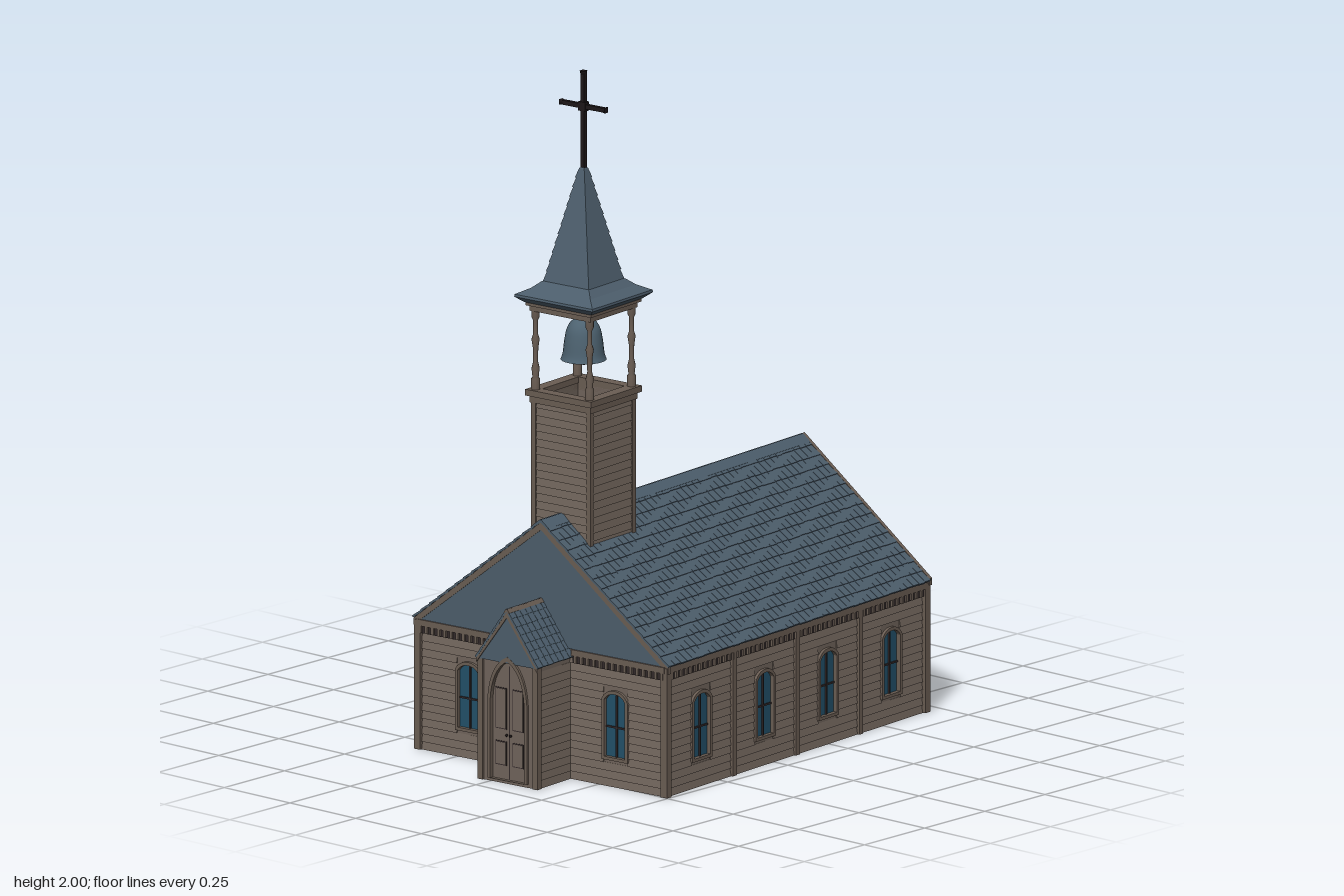
import * as THREE from 'three';
import { mergeGeometries } from 'three/addons/utils/BufferGeometryUtils.js';

const mat = (name, color, side = THREE.FrontSide) => {
  const m = new THREE.MeshStandardMaterial({ color, side });
  m.name = name;
  return m;
};

export function createModel() {
  const siding = mat('siding', 0x70645b), trim = mat('trim', 0x6a5d53), roof = mat('shingle', 0x4c5d6b);
  const glass = mat('glass', 0x225068, THREE.DoubleSide), dark = mat('darkTrim', 0x32292a);
  const iron = mat('iron', 0x1d1718), bellMetal = mat('bellMetal', 0x4d6270, THREE.DoubleSide);

  let seed = 7;
  const rand = () => (seed = (seed * 16807) % 2147483647) / 2147483647;

  // helpers
  const box = (x, y, z, w, h, d) => new THREE.BoxGeometry(w, h, d).translate(x, y, z);
  const span = (x0, x1, y0, y1, z0, z1) =>
    box((x0 + x1) / 2, (y0 + y1) / 2, (z0 + z1) / 2, x1 - x0, y1 - y0, z1 - z0);
  const extrude = (shape, z0, z1) =>
    new THREE.ExtrudeGeometry(shape, { depth: z1 - z0, bevelEnabled: false, curveSegments: 8 }).translate(0, 0, z0);
  const poly = pts => new THREE.Shape(pts.map(p => new THREE.Vector2(...p)));
  const add = (parent, name, material, geos) => {
    const flat = [].concat(geos).map(g => (g.index ? g.toNonIndexed() : g));
    const mesh = new THREE.Mesh(mergeGeometries(flat), material);
    mesh.name = name;
    parent.add(mesh);
    return mesh;
  };
  const group = (parent, name) => {
    const g = new THREE.Group();
    g.name = name;
    parent.add(g);
    return g;
  };
  // square lathe with crisp faces
  const squareLathe = pts => {
    const g = new THREE.LatheGeometry(pts.map(([h, y]) => new THREE.Vector2(h * Math.SQRT2, y)), 4, Math.PI / 4).toNonIndexed();
    g.computeVertexNormals();
    return g;
  };
  // lapped board: thick at the bottom, thin at the top
  const board = (x0, x1, y, h, t = 0.005) => {
    const g = new THREE.BoxGeometry(x1 - x0, h, t), p = g.attributes.position;
    for (let i = 0; i < p.count; i++) if (p.getY(i) > 0 && p.getZ(i) > 0) p.setZ(i, -t / 2 + 0.0006);
    g.computeVertexNormals();
    return g.translate((x0 + x1) / 2, y + h / 2, t / 2);
  };
  // low arched window outline, and pointed door outline
  const windowShape = (x, w, y0, y1, rise) => {
    const s = new THREE.Shape();
    s.moveTo(x - w, y0);
    s.lineTo(x + w, y0);
    s.lineTo(x + w, y1);
    s.quadraticCurveTo(x + w * 0.7, y1 + rise, x, y1 + rise);
    s.quadraticCurveTo(x - w * 0.7, y1 + rise, x - w, y1);
    return s;
  };
  const doorShape = (w, top) => {
    const s = new THREE.Shape();
    s.moveTo(-w, 0.01);
    s.lineTo(w, 0.01);
    s.lineTo(w, 0.24);
    s.quadraticCurveTo(w * 0.9, top - 0.03, 0, top);
    s.quadraticCurveTo(-w * 0.9, top - 0.03, -w, 0.24);
    return s;
  };

  const EAVE = 0.385, RIDGE = 0.735;

  // one wall in its own plane, outside facing +z
  const wall = (parent, name, half, gable, windows, posts, friezes, broken) => {
    const g = group(parent, name);
    const shape = poly(gable
      ? [[-half, 0], [half, 0], [half, EAVE], [0, RIDGE - 0.012], [-half, EAVE]]
      : [[-half, 0], [half, 0], [half, 0.38], [-half, 0.38]]);
    windows.forEach(x => shape.holes.push(windowShape(x, 0.038, 0.085, 0.25, 0.022)));
    add(g, 'wallPanel', siding, extrude(shape, -0.012, 0));
    const boards = [], H = 0.0225;
    for (let y = 0; y < (gable ? RIDGE - 0.04 : 0.33); y += H) {
      const lim = y + H > EAVE ? half * (RIDGE - 0.012 - y - H) / (RIDGE - EAVE) : half;
      let x0 = -lim;
      if (y + H > 0.08 && y < 0.275)
        for (const x of windows) {
          boards.push(board(x0, x - 0.043, y, H));
          x0 = x + 0.043;
        }
      boards.push(board(x0, lim, y, H));
    }
    add(g, 'clapboards', siding, boards);
    for (const x of windows) {
      const w = group(g, 'window');
      const frame = windowShape(x, 0.046, 0.077, 0.252, 0.028);
      frame.holes.push(windowShape(x, 0.037, 0.086, 0.25, 0.02));
      add(w, 'windowFrame', trim, extrude(frame, -0.01, 0.009));
      const pane = windowShape(x, 0.038, 0.085, 0.25, 0.022);
      if (x === broken) pane.holes.push(poly([[x + 0.004, 0.09], [x + 0.034, 0.09], [x + 0.034, 0.165], [x + 0.004, 0.165]]));
      add(w, 'windowPane', glass, new THREE.ShapeGeometry(pane, 8).translate(0, 0, -0.004));
      add(w, 'windowBars', dark, [box(x, 0.176, -0.003, 0.005, 0.18, 0.008), box(x, 0.172, -0.003, 0.074, 0.005, 0.006)]);
    }
    if (posts.length) add(g, 'wallPosts', trim, posts.map(x => span(x - 0.009, x + 0.009, 0, 0.372, -0.005, 0.011)));
    // frieze with small brackets under the eave
    const band = [], under = [], teeth = [];
    for (const [a, b] of friezes) {
      band.push(span(a, b, 0.36, 0.378, 0, 0.013));
      under.push(span(a, b, 0.338, 0.36, 0, 0.007));
      for (let x = a + 0.012; x < b; x += 0.022) teeth.push(box(x, 0.35, 0.008, 0.009, 0.02, 0.01));
    }
    add(g, 'friezeBand', trim, band);
    add(g, 'friezeShadowBoard', dark, under);
    add(g, 'friezeBrackets', trim, teeth);
    return g;
  };

  // two shingled slopes running along z
  const gableRoof = (parent, name, hw, eave, ridge, z0, z1, rows, cols, capMat, capW) => {
    const g = group(parent, name), a = Math.atan2(ridge - eave, hw);
    const step = Math.hypot(hw, ridge - eave) / rows, cell = (z1 - z0) / cols;
    add(g, 'roofCore', roof, extrude(poly([[-hw + 0.008, eave - 0.007], [hw - 0.008, eave - 0.007], [0, ridge - 0.008]]), z0 + 0.004, z1 - 0.004));
    const tiles = [], caps = [];
    for (const s of [1, -1]) {
      for (let r = 0; r < rows; r++)
        for (let c = 0; c < cols; c++) {
          const t = (r + 0.5) / rows;
          tiles.push(new THREE.BoxGeometry(step * (1.12 + 0.12 * rand()), 0.006, cell * 0.96)
            .rotateZ(-s * (a - 0.06))
            .translate(s * hw * (1 - t), eave + (ridge - eave) * t - 0.002, z0 + (c + 0.5) * cell));
        }
      caps.push(box(s * capW / 2, 0, 0, capW, 0.006, z1 - z0).rotateZ(-s * a).translate(0, ridge, (z0 + z1) / 2));
    }
    add(g, 'shingles', roof, tiles);
    add(g, 'ridgeCap', capMat, caps);
    return g;
  };

  const model = new THREE.Group();
  const church = group(model, 'church');
  church.rotation.y = 0.083;
  church.position.z = -0.065;

  // main walls
  const bays = [-0.435, -0.145, 0.145, 0.435];
  const ends = [[-0.44, -0.11], [0.11, 0.44]];
  wall(church, 'frontWall', 0.436, true, [-0.26, 0.26], [], ends).position.z = 0.592;
  const back = wall(church, 'backWall', 0.436, true, [-0.26, 0.26], [-0.11, 0.11], ends, -0.26);
  back.rotation.y = Math.PI;
  back.position.z = -0.592;
  for (const s of [1, -1]) {
    const side = wall(church, 'sideWall', 0.58, false, bays, [-0.29, 0, 0.29], [[-0.59, 0.59]]);
    side.rotation.y = s * Math.PI / 2;
    side.position.x = s * 0.436;
  }
  const corners = [];
  for (const x of [-1, 1]) for (const z of [-1, 1]) corners.push(box(x * 0.438, 0.188, z * 0.593, 0.022, 0.376, 0.022));
  add(church, 'cornerPosts', trim, corners);
  add(church, 'ceiling', siding, box(0, 0.368, 0, 0.86, 0.006, 1.17));

  // main roof with end boards
  gableRoof(church, 'mainRoof', 0.452, EAVE, RIDGE, -0.598, 0.604, 15, 44, roof, 0.034);
  const rake = (y, z, d) => extrude(poly([[-0.452, EAVE - 0.02 + y], [0, RIDGE - 0.022 + y], [0.452, EAVE - 0.02 + y],
    [0.452, EAVE + y], [0, RIDGE + y], [-0.452, EAVE + y]].reverse()), z, z + d);
  add(church, 'endBoards', trim, [rake(0.003, -0.608, 0.012), rake(-0.006, 0.59, 0.012)]);

  // porch
  const porch = group(church, 'porch');
  const front = poly([[-0.098, 0], [0.098, 0], [0.098, 0.355], [0, 0.495], [-0.098, 0.355]]);
  front.holes.push(doorShape(0.062, 0.36));
  add(porch, 'porchFront', siding, extrude(front, 0.738, 0.75));
  for (const s of [1, -1]) {
    const side = group(porch, 'porchSide');
    side.position.set(s * 0.098, 0, 0.672);
    side.rotation.y = s * Math.PI / 2;
    const boards = [span(-0.08, 0.078, 0, 0.36, -0.01, 0)];
    for (let y = 0; y < 0.33; y += 0.0225) boards.push(board(-0.078, 0.078, y, 0.0225, 0.004));
    add(side, 'porchSideBoards', siding, boards);
    add(porch, 'porchPost', trim, box(s * 0.097, 0.177, 0.746, 0.018, 0.354, 0.018));
  }
  const frame = doorShape(0.07, 0.37);
  frame.holes.push(doorShape(0.06, 0.357));
  add(porch, 'doorFrame', trim, extrude(frame, 0.74, 0.757));
  add(porch, 'doors', siding, extrude(doorShape(0.062, 0.36), 0.736, 0.744));
  const panels = [], lines = [span(-0.0012, 0.0012, 0.012, 0.34, 0.743, 0.746)];
  for (const s of [1, -1])
    for (const [y, h] of [[0.085, 0.07], [0.215, 0.12]]) {
      lines.push(box(s * 0.03, y, 0.7445, 0.04, h, 0.002));
      panels.push(box(s * 0.03, y, 0.7455, 0.034, h - 0.006, 0.003));
    }
  add(porch, 'doorGrooves', dark, lines);
  add(porch, 'doorPanels', siding, panels);
  add(porch, 'doorKnobs', iron, [-1, 1].map(s => new THREE.SphereGeometry(0.004, 8, 6).translate(s * 0.007, 0.14, 0.75)));
  gableRoof(porch, 'porchRoof', 0.108, 0.358, 0.508, 0.59, 0.76, 7, 7, trim, 0.013);
  add(porch, 'porchEndBoard', trim, extrude(poly([[-0.108, 0.34], [-0.108, 0.355], [0, 0.503], [0.108, 0.355],
    [0.108, 0.34], [0, 0.484]].reverse()), 0.749, 0.759));

  // bell tower
  const tower = group(church, 'bellTower');
  tower.position.z = 0.406;
  const ring = (o, i, y0, y1) => {
    const s = poly([[-o, -o], [o, -o], [o, o], [-o, o]]);
    s.holes.push(poly([[-i, -i], [i, -i], [i, i], [-i, i]]));
    return extrude(s, 0, y1 - y0).rotateX(-Math.PI / 2).translate(0, y0, 0);
  };
  add(tower, 'towerShaft', siding, [ring(0.099, 0.085, 0.6, 1.06), box(0, 1.0, 0, 0.175, 0.01, 0.175)]);
  const laps = [], posts = [];
  for (let k = 0; k < 4; k++) {
    for (let y = 0.6; y < 1.03; y += 0.0225)
      laps.push(board(-0.097, 0.097, y, 0.0225, 0.004).translate(0, 0, 0.099).rotateY(k * Math.PI / 2));
    posts.push(box(0.097, 0.83, 0.097, 0.016, 0.46, 0.016).rotateY(k * Math.PI / 2));
  }
  add(tower, 'towerClapboards', siding, laps);
  add(tower, 'towerCornerPosts', trim, posts);
  add(tower, 'towerCornice', trim, [ring(0.108, 0.085, 1.042, 1.062), ring(0.117, 0.082, 1.062, 1.08)]);

  // turned belfry posts
  const turned = [[0.013, 1.078], [0.013, 1.11], [0.009, 1.115], [0.012, 1.14], [0.007, 1.16], [0.008, 1.2],
    [0.012, 1.225], [0.007, 1.24], [0.007, 1.28], [0.012, 1.29], [0.012, 1.315]].map(p => new THREE.Vector2(...p));
  for (const x of [-1, 1])
    for (const z of [-1, 1])
      add(tower, 'belfryPost', trim, new THREE.LatheGeometry(turned, 10)).position.set(x * 0.096, 0, z * 0.096);
  add(tower, 'belfryCornice', trim, [ring(0.108, 0.08, 1.308, 1.325), box(0, 1.331, 0, 0.232, 0.014, 0.232)]);

  // bell
  const bellLine = new THREE.SplineCurve([[0.065, 1.163], [0.059, 1.18], [0.054, 1.22], [0.046, 1.255], [0.028, 1.278], [0.0005, 1.286]]
    .map(p => new THREE.Vector2(...p)));
  add(tower, 'bell', bellMetal, new THREE.LatheGeometry(bellLine.getPoints(18), 28));
  add(tower, 'bellHanger', iron, [box(0, 1.305, 0, 0.012, 0.045, 0.012), box(0, 1.21, 0, 0.005, 0.13, 0.005),
    new THREE.SphereGeometry(0.012, 10, 8).translate(0, 1.158, 0)]);

  // flared spire with stepped courses
  const spire = [[0.001, 1.333], [0.118, 1.333], [0.139, 1.35], [0.138, 1.357], [0.105, 1.374], [0.084, 1.392]];
  for (let i = 0; i < 12; i++) {
    const h = t => 0.079 - 0.07 * t;
    spire.push([h(i / 12) + 0.0025, 1.393 + i * 0.027], [h((i + 1) / 12), 1.393 + (i + 1) * 0.027]);
  }
  spire.push([0.0005, 1.725]);
  add(tower, 'spire', roof, squareLathe(spire));

  // cross with flared tips
  const tip = (rot, x, y) => new THREE.CylinderGeometry(0.011, 0.007, 0.018, 4, 1).rotateY(Math.PI / 4).rotateZ(rot).translate(x, y, 0);
  add(tower, 'cross', iron, [box(0, 1.848, 0, 0.014, 0.29, 0.012), box(0, 1.897, 0, 0.15, 0.013, 0.012),
    box(0, 1.897, 0, 0.024, 0.026, 0.018), tip(0, 0, 1.991), tip(-Math.PI / 2, 0.072, 1.897), tip(Math.PI / 2, -0.072, 1.897)]);

  return model;
}
